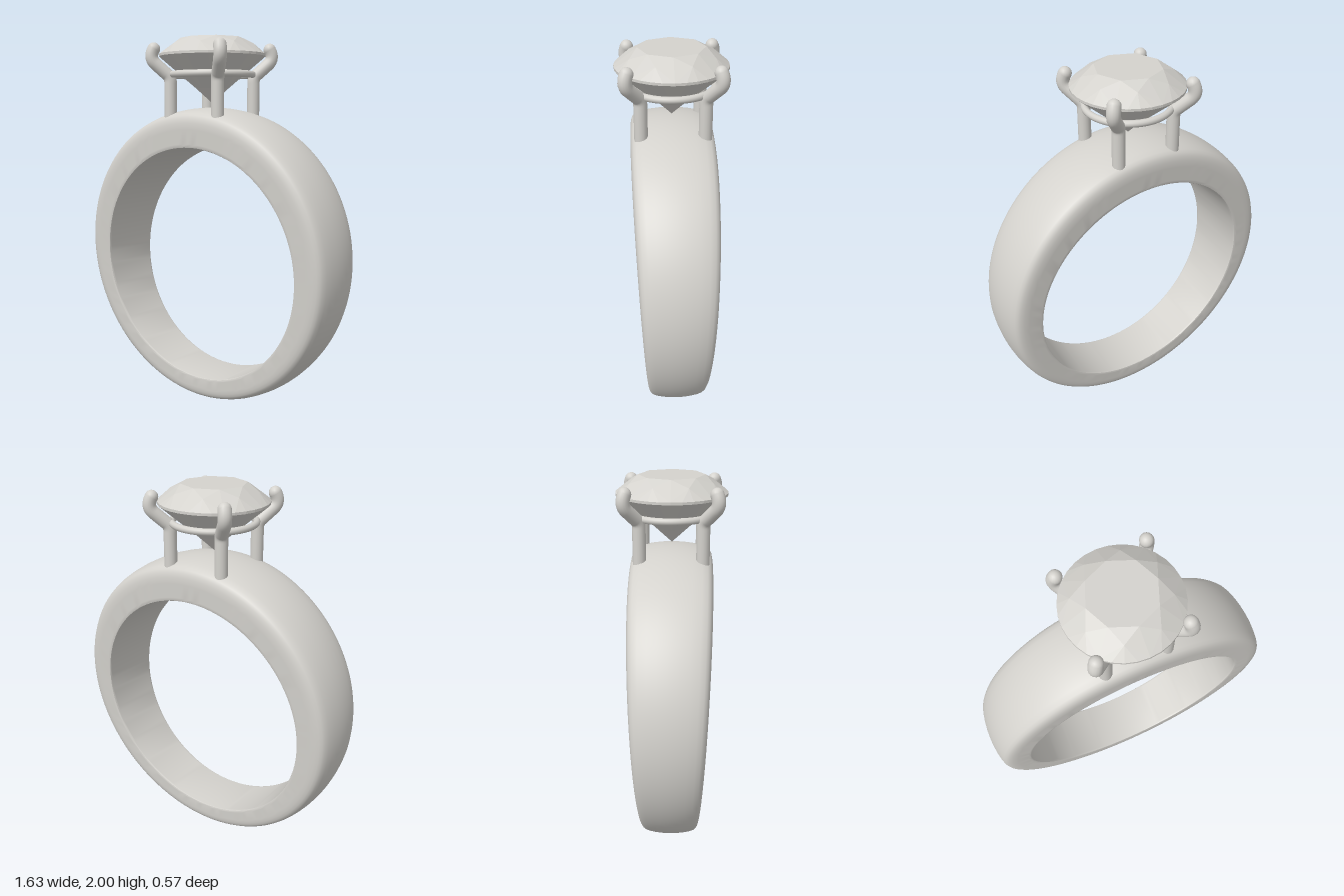
import * as THREE from 'three';
import { toCreasedNormals } from 'three/addons/utils/BufferGeometryUtils.js';

const metal = new THREE.MeshStandardMaterial({ color: 0xd4d2cd });
metal.name = 'silver';
const gemMaterial = new THREE.MeshStandardMaterial({ color: 0xd4d2cd, flatShading: true });
gemMaterial.name = 'gem grey';

function add(parent, name, geometry, material = metal) {
  const mesh = new THREE.Mesh(geometry, material);
  mesh.name = name;
  parent.add(mesh);
  return mesh;
}

// Domed band that grows wider and thicker towards the top.
function bandGeometry() {
  // [fraction of half width, fraction of thickness from inside to outside]
  const half = [[0.92, 0], [0.95, 0], [0.985, 0.015], [1, 0.06], [1, 0.1], [1, 0.46], [1, 0.5],
    [0.99, 0.62], [0.965, 0.73], [0.92, 0.81], [0.85, 0.865], [0.72, 0.915], [0.5, 0.96], [0.25, 0.99]];
  const profile = [...half, [0, 1], ...half.slice().reverse().map(([s, t]) => [-s, t])];
  const steps = 128, n = profile.length;
  const pos = [], index = [];
  for (let i = 0; i < steps; i++) {
    const a = (i / steps) * Math.PI * 2, c = Math.cos(a), s = Math.sin(a);
    const inner = [0.643 * c, 0.776 + 0.643 * s];
    const outer = [0.816 * c, 0.816 + 0.816 * s];
    profile.forEach(([w, t], j) => {
      const x = inner[0] + (outer[0] - inner[0]) * t;
      const y = inner[1] + (outer[1] - inner[1]) * t;
      pos.push(x, y, w * (0.139 + 0.05 * y));
      const a0 = i * n + j, a1 = i * n + (j + 1) % n;
      const b0 = ((i + 1) % steps) * n + j, b1 = ((i + 1) % steps) * n + (j + 1) % n;
      index.push(a0, a1, b0, a1, b1, b0);
    });
  }
  const g = new THREE.BufferGeometry();
  g.setAttribute('position', new THREE.Float32BufferAttribute(pos, 3));
  g.setIndex(index);
  return toCreasedNormals(g, 0.7);
}

// Round brilliant cut: table, star, kite and girdle facets above, pavilion below.
function gemGeometry() {
  const pos = [];
  const point = (r, y, eighths) => {
    const a = (eighths * Math.PI) / 4;
    return [r * Math.sin(a), y, r * Math.cos(a)];
  };
  const tri = (...p) => p.forEach((v) => pos.push(...v));
  const table = (k) => point(0.17, 2, k);
  const star = (k) => point(0.227, 1.967, k + 0.5);
  const girdle = (k, y = 1.915) => point(0.287, y, k);
  const low = (k) => point(0.09, 1.735, k);
  const tip = [0, 1.655, 0];
  for (let k = 0; k < 8; k++) {
    tri([0, 2, 0], table(k), table(k + 1));
    tri(table(k), star(k), table(k + 1));
    // kite
    tri(table(k), star(k - 1), girdle(k));
    tri(table(k), girdle(k), star(k));
    // upper girdle facets and the thin girdle
    for (let q = 0; q < 4; q++) {
      const a = k + q / 4, b = a + 0.25;
      tri(star(k), girdle(a), girdle(b));
      tri(girdle(a), girdle(a, 1.902), girdle(b));
      tri(girdle(b), girdle(a, 1.902), girdle(b, 1.902));
    }
    // pavilion mains and lower girdle facets
    tri(low(k), tip, low(k + 1));
    tri(girdle(k + 0.5, 1.902), low(k), low(k + 1));
    for (let q = 0; q < 2; q++) {
      const a = k + q / 4, b = k + 0.5 + q / 4;
      tri(girdle(a, 1.902), low(k), girdle(a + 0.25, 1.902));
      tri(girdle(b, 1.902), low(k + 1), girdle(b + 0.25, 1.902));
    }
  }
  const g = new THREE.BufferGeometry();
  g.setAttribute('position', new THREE.Float32BufferAttribute(pos, 3));
  g.computeVertexNormals();
  return g;
}

export function createModel() {
  const ring = new THREE.Group();
  ring.name = 'ring';
  add(ring, 'band', bandGeometry());
  add(ring, 'gem', gemGeometry(), gemMaterial);

  // Thin hoop carrying the gem
  const hoop = add(ring, 'settingHoop', new THREE.TorusGeometry(0.217, 0.018, 12, 64));
  hoop.rotation.x = Math.PI / 2;
  hoop.position.y = 1.807;

  // Four prongs: straight leg, outward bend, rounded tip curling over the girdle
  const at = (d, y) => new THREE.Vector3(d, y, d);
  const tip = at(0.222, 1.94);
  const path = new THREE.CurvePath();
  path.add(new THREE.LineCurve3(at(0.16, 1.56), at(0.16, 1.765)));
  path.add(new THREE.QuadraticBezierCurve3(at(0.16, 1.765), at(0.16, 1.795), at(0.175, 1.81)));
  path.add(new THREE.LineCurve3(at(0.175, 1.81), at(0.215, 1.86)));
  path.add(new THREE.QuadraticBezierCurve3(at(0.215, 1.86), at(0.242, 1.892), tip));
  const legGeometry = new THREE.TubeGeometry(path, 40, 0.034, 16);
  const tipGeometry = new THREE.SphereGeometry(0.034, 16, 12);
  for (let i = 0; i < 4; i++) {
    const prong = new THREE.Group();
    prong.name = 'prong' + (i + 1);
    prong.rotation.y = (i * Math.PI) / 2;
    add(prong, 'prongLeg', legGeometry);
    add(prong, 'prongTip', tipGeometry).position.copy(tip);
    ring.add(prong);
  }
  return ring;
}
